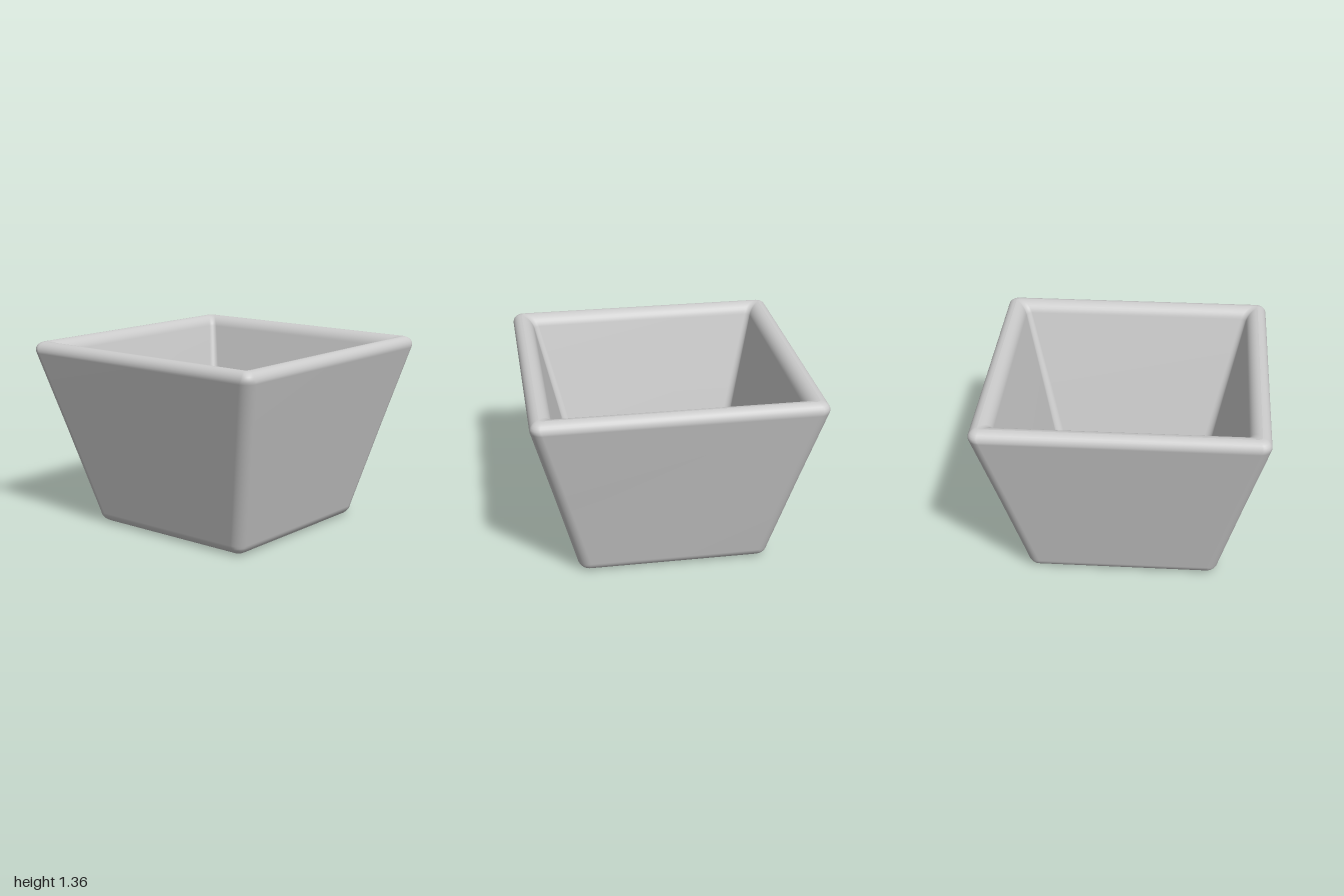
import * as THREE from 'three';

// Cross-section of the pot: [half width, height, corner radius],
// from the underside, up the outside, over the rim and down to the floor.
function potProfile() {
  const p = [[0, 0, 0], [0.3, 0, 0.005]];
  const arc = (cx, cy, rx, ry, from, to, r0, r1, n = 7) => {
    for (let i = 0; i <= n; i++) {
      const t = i / n, a = THREE.MathUtils.degToRad(from + (to - from) * t);
      p.push([cx + rx * Math.cos(a), cy + ry * Math.sin(a), r0 + (r1 - r0) * t]);
    }
  };
  arc(0.597, 0.1, 0.1, 0.1, -90, -14, 0.015, 0.09); // rounded foot
  p.push([0.85, 0.7, 0.085]);
  arc(0.935, 1.295, 0.065, 0.065, -14, 90, 0.08, 0.03); // outer rim
  arc(0.935, 1.26, 0.09, 0.1, 90, 166, 0.03, 0.04); // inner rim
  p.push([0.71, 0.72, 0.05]);
  arc(0.52, 0.2, 0.065, 0.07, -14, -90, 0.06, 0.01); // floor fillet
  p.push([0.25, 0.13, 0.005], [0, 0.13, 0]);
  return p;
}

// Skin a stack of rounded squares
function loftRoundedSquares(profile, cornerSteps = 8) {
  const pos = [], index = [];
  const n = 4 * (cornerSteps + 1);
  for (const [half, y, r] of profile) {
    for (let q = 0; q < 4; q++) {
      const mid = (q + 0.5) * Math.PI / 2;
      const cx = Math.sign(Math.cos(mid)) * (half - r);
      const cz = Math.sign(Math.sin(mid)) * (half - r);
      for (let s = 0; s <= cornerSteps; s++) {
        const a = (q + s / cornerSteps) * Math.PI / 2;
        pos.push(cx + r * Math.cos(a), y, cz + r * Math.sin(a));
      }
    }
  }
  for (let i = 0; i < profile.length - 1; i++) {
    for (let k = 0; k < n; k++) {
      const a = i * n + k, b = i * n + (k + 1) % n;
      if (i < profile.length - 2) index.push(a, a + n, b);
      else index.push(a, a + n, b);
      if (i < profile.length - 2) index.push(b, a + n, b + n);
      if (i === 0) index.splice(-6, 3); // the first ring is a single point
    }
  }
  const g = new THREE.BufferGeometry();
  g.setAttribute('position', new THREE.Float32BufferAttribute(pos, 3));
  g.setIndex(index);
  g.computeVertexNormals();
  // the collapsed end rings face straight down and straight up
  const last = (profile.length - 1) * n;
  for (let k = 0; k < n; k++) {
    g.attributes.normal.setXYZ(k, 0, -1, 0);
    g.attributes.normal.setXYZ(last + k, 0, 1, 0);
  }
  return g;
}

export function createModel() {
  const group = new THREE.Group();
  group.name = 'squarePlanter';
  const pot = new THREE.Mesh(
    loftRoundedSquares(potProfile()),
    new THREE.MeshStandardMaterial({ color: 0xcccccc })
  );
  pot.name = 'pot';
  group.add(pot);
  return group;
}
